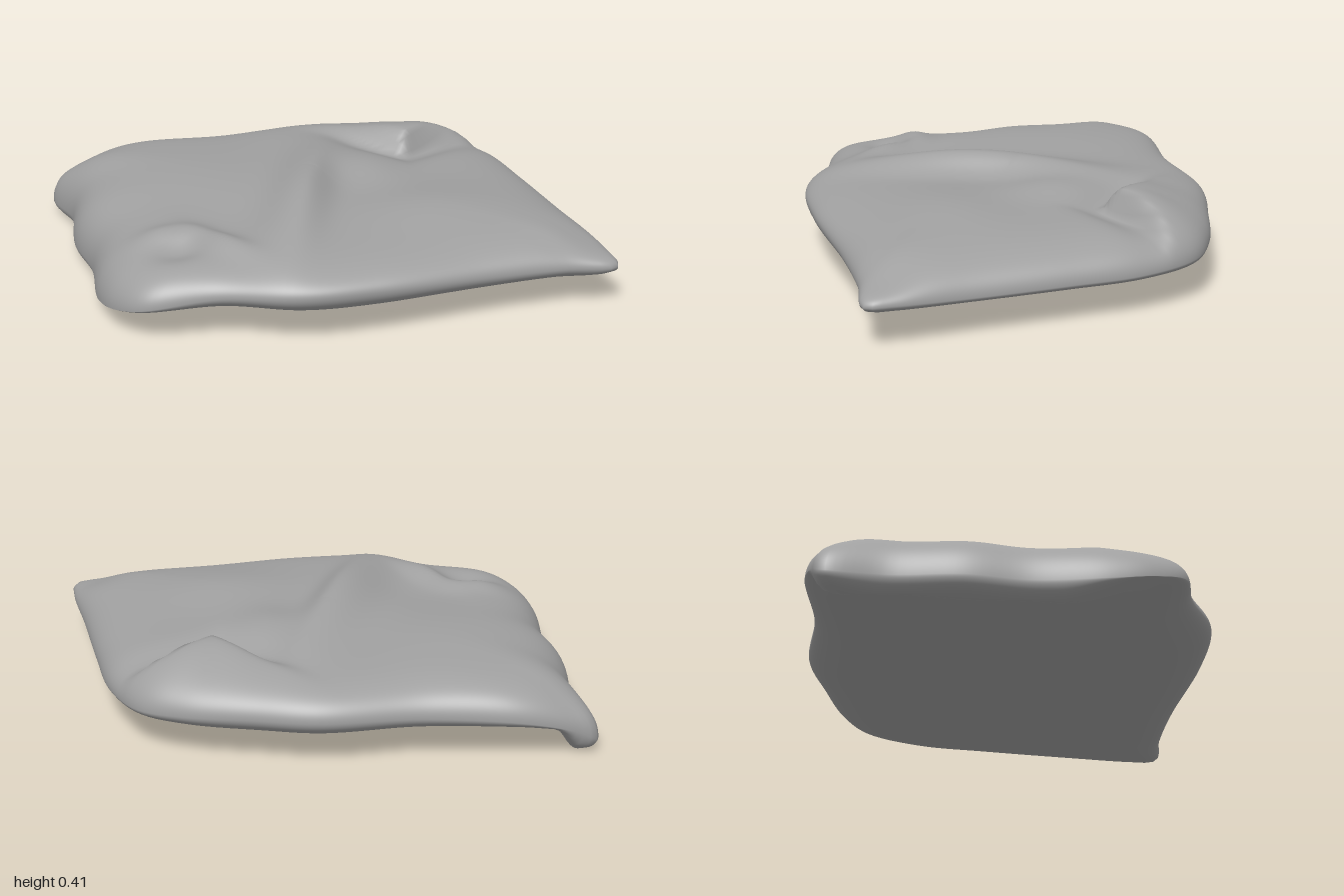
import * as THREE from 'three';
import { mergeVertices } from 'three/addons/utils/BufferGeometryUtils.js';

// Seam outline: x, height, z, running round from the front left corner
const SEAM = [
  [0.985, 0.18, 0.8], [0.78, 0.19, 0.785], [0.45, 0.2, 0.79], [0, 0.22, 0.83],
  [-0.32, 0.22, 0.81], [-0.6, 0.2, 0.68], [-0.88, 0.15, 0.6], [-0.97, 0.11, 0.47],
  [-1, 0.08, 0.3], [-0.97, 0.07, 0], [-0.995, 0.07, -0.25], [-0.96, 0.07, -0.52],
  [-0.995, 0.06, -0.78], [-0.9, 0.11, -0.81], [-0.68, 0.17, -0.835], [-0.3, 0.19, -0.79],
  [0.1, 0.2, -0.805], [0.35, 0.2, -0.74], [0.62, 0.19, -0.65], [0.78, 0.18, -0.54],
  [0.88, 0.17, -0.3], [0.92, 0.17, 0], [0.96, 0.17, 0.4], [0.997, 0.18, 0.7],
];

const { smoothstep, clamp } = THREE.MathUtils;

// Soft round or oval bump, optionally turned by an angle
function bump(x, z, cx, cz, w, l = w, angle = 0) {
  const c = Math.cos(angle), s = Math.sin(angle);
  const u = ((x - cx) * c + (z - cz) * s) / w;
  const v = (-(x - cx) * s + (z - cz) * c) / l;
  return Math.exp(-u * u - v * v);
}

// Folded-over corner: a V-shaped step, soft on one arm, that fades towards the back
function fold(x, z) {
  const d1 = (x - 0.45) * 0.72 - (z + 0.28) * 0.69;
  const d2 = -(x - 0.46) * 0.36 - (z + 0.28) * 0.93 - 0.02 * Math.sin((x - 0.46) * 9);
  const d = Math.min(d1, d2);
  const step = Math.min(smoothstep(d1, -0.05, 0.05), smoothstep(d2, -0.02, 0.03));
  const near = bump(x, z, 0.5, -0.36, 0.3, 0.28);
  return near * (0.095 * step * Math.exp(-Math.max(d, 0) / 0.4)
    - 0.045 * Math.exp(-(((d + 0.05) / 0.09) ** 2)));
}

// Height of the plump upper side before it rounds off to the seam
function topHeight(x, z) {
  const ridgeWidth = x + 0.4 * z < -0.052 ? 0.15 : 0.1;   // steeper on one flank
  return 0.322
    + fold(x, z)
    + 0.09 * bump(x, z, -0.1, 0.12, ridgeWidth, 0.52, 0.38) // crease ridge
    + 0.035 * bump(x, z, 0.22, -0.12, 0.15, 0.2)          // swelling behind the ridge
    + 0.03 * bump(x, z, 0.36, 0.34, 0.3, 0.22)            // front lobe
    - 0.02 * bump(x, z, -0.48, 0.25, 0.2, 0.25)           // hollow before the ridge
    + 0.04 * bump(x, z, -0.52, 0.42, 0.06, 0.18, -0.5)    // wrinkles at the rounded corner
    + 0.03 * bump(x, z, -0.72, 0.27, 0.12, 0.07)
    - 0.035 * bump(x, z, -0.7, 0.4, 0.1, 0.09)
    + 0.02 * bump(x, z, -0.5, -0.3, 0.3, 0.3)
    - 0.06 * bump(x, z, 0.93, 0.75, 0.16)                 // pinched corners
    - 0.05 * bump(x, z, -0.95, -0.76, 0.16);
}

// Height of the underside, dropping into a lip along the hanging right edge
function baseHeight(x, z) {
  const lip = (1 - smoothstep(x, -0.92, -0.82)) * (1 - smoothstep(z, 0.1, 0.55));
  return 0.092 + 0.02 * smoothstep(Math.abs(x - 0.15), 0.15, 0.9) - 0.12 * lip;
}

function createCushionGeometry() {
  const curve = new THREE.CatmullRomCurve3(
    SEAM.map((p) => new THREE.Vector3(...p)), true, 'centripetal');
  const around = 192, rings = 64;
  const seam = curve.getSpacedPoints(around);
  const positions = [], index = [];

  // Rings run from the top centre out to the seam and back under to the bottom centre
  for (let i = 0; i <= 2 * rings; i++) {
    const top = i <= rings;
    const r = i === rings ? 1 : Math.sin(((top ? i : 2 * rings - i) / rings) * Math.PI / 2);
    for (let j = 0; j < around; j++) {
      const s = seam[j], x = s.x * r, z = s.z * r;
      const hang = clamp((0.16 - s.y) / 0.08, 0, 1) * (s.x < 0 ? 1 : 0);
      const height = top ? topHeight(x, z) : baseHeight(x, z);
      const power = top ? 7 - 1.3 * s.z : 6 + 10 * hang;
      const y = s.y + (height - s.y) * Math.sqrt(1 - r ** power);
      positions.push(x, Math.max(y, 0), z);
    }
  }
  for (let i = 0; i < 2 * rings; i++) {
    for (let j = 0; j < around; j++) {
      const k = (j + 1) % around;
      const a = i * around + j, b = a + around;
      const d = i * around + k, c = d + around;
      if (i < 2 * rings - 1) index.push(a, c, b);
      if (i > 0) index.push(a, d, c);
    }
  }
  let geometry = new THREE.BufferGeometry();
  geometry.setAttribute('position', new THREE.Float32BufferAttribute(positions, 3));
  geometry.setIndex(index);
  geometry = mergeVertices(geometry, 1e-5);
  geometry.computeVertexNormals();
  return geometry;
}

export function createModel() {
  const group = new THREE.Group();
  group.name = 'pillow';
  const cushion = new THREE.Mesh(
    createCushionGeometry(),
    new THREE.MeshStandardMaterial({ color: 0xa0a0a0 }));
  cushion.name = 'cushion';
  group.add(cushion);
  return group;
}
